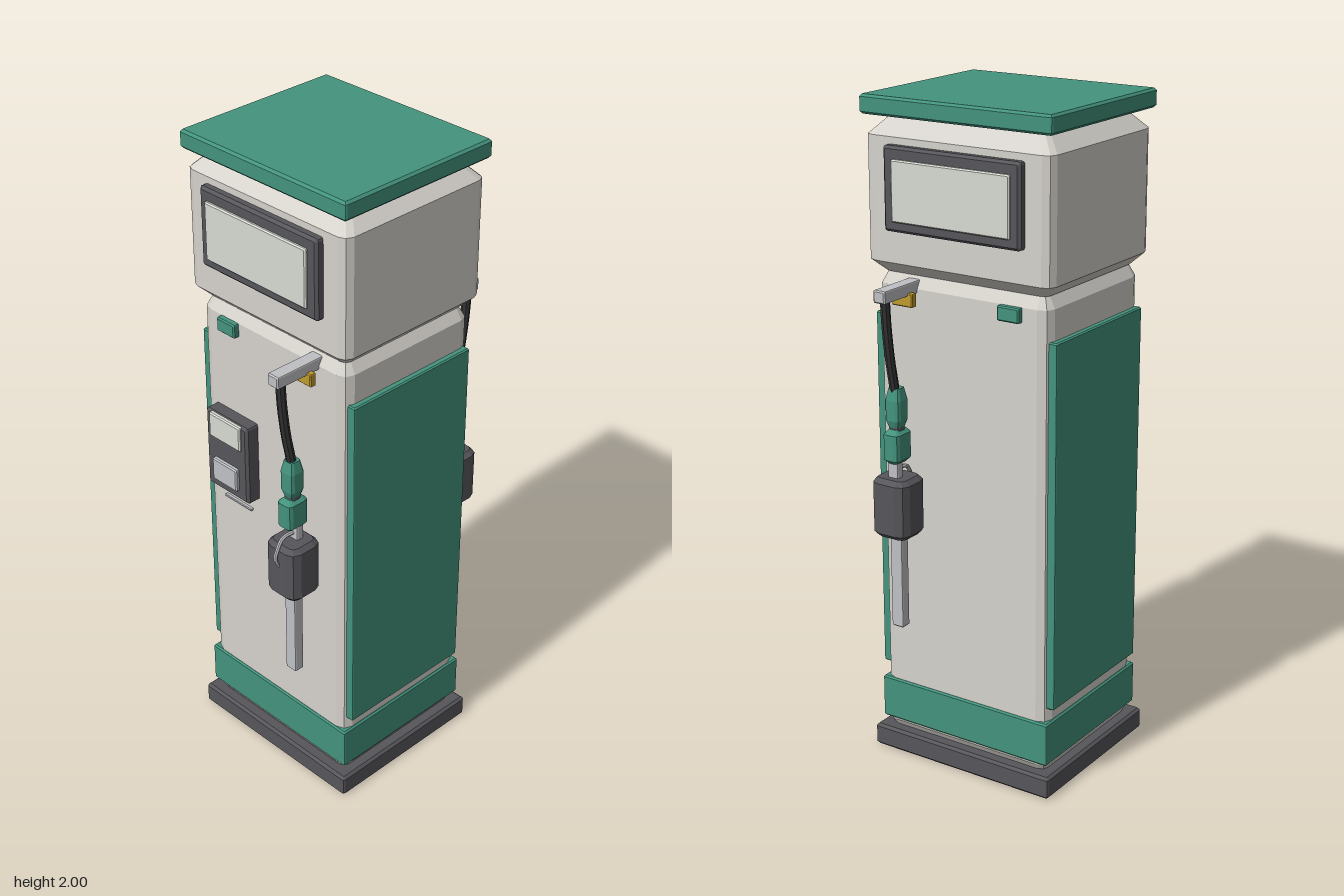
import * as THREE from 'three';

const mat = (color) => new THREE.MeshStandardMaterial({ color, flatShading: true });
const M = {
  shell: mat(0xd6d3cd), green: mat(0x43937d), dark: mat(0x57565b), glass: mat(0xd8dbd3),
  metal: mat(0xc0c1c5), gold: mat(0xc09a2e), hose: mat(0x333335),
};

// Rounded rectangle sections [y, halfX, halfZ, cornerRadius] stacked along y, with caps
function loft(sections) {
  const steps = 2, pos = [];
  const rings = sections.map(([y, hx, hz, r]) => {
    const ring = [];
    for (let q = 0; q < 4; q++) {
      const sx = q === 0 || q === 3 ? 1 : -1, sz = q < 2 ? 1 : -1;
      for (let k = 0; k <= steps; k++) {
        const a = (q + k / steps) * Math.PI / 2;
        ring.push([sx * (hx - r) + r * Math.cos(a), y, sz * (hz - r) + r * Math.sin(a)]);
      }
    }
    return ring;
  });
  const n = rings[0].length;
  const tri = (...p) => p.forEach((v) => pos.push(...v));
  for (let s = 0; s < rings.length - 1; s++) {
    for (let i = 0; i < n; i++) {
      const j = (i + 1) % n, lo = rings[s], hi = rings[s + 1];
      tri(lo[i], hi[i], hi[j]);
      tri(lo[i], hi[j], lo[j]);
    }
  }
  const first = rings[0], last = rings[rings.length - 1];
  for (let i = 1; i < n - 1; i++) {
    tri(first[0], first[i], first[i + 1]);
    tri(last[0], last[i + 1], last[i]);
  }
  const geo = new THREE.BufferGeometry();
  geo.setAttribute('position', new THREE.Float32BufferAttribute(pos, 3));
  geo.computeVertexNormals();
  return geo;
}

// Block with bevelled top and bottom rims; bevels are [inset, height]
function block(w, h, d, r, top = [r, r], bottom = top) {
  const hx = w / 2, hz = d / 2, y = h / 2;
  const rim = (inset) => Math.max(r - inset, r * 0.4);
  return loft([
    [-y, hx - bottom[0], hz - bottom[0], rim(bottom[0])],
    [-y + bottom[1], hx, hz, r],
    [y - top[1], hx, hz, r],
    [y, hx - top[0], hz - top[0], rim(top[0])],
  ]);
}

function add(parent, name, geo, material, x = 0, y = 0, z = 0) {
  const mesh = new THREE.Mesh(geo, material);
  mesh.name = name;
  mesh.position.set(x, y, z);
  parent.add(mesh);
  return mesh;
}

// Plate given by its x and y extents, reaching from z0 out to z1
function plate(parent, name, material, x0, x1, y0, y1, z0, z1, bevel = 0.006) {
  const geo = block(x1 - x0, Math.abs(z1 - z0), y1 - y0, bevel, [bevel, bevel], [0, 0.001]);
  geo.rotateX(z1 > z0 ? Math.PI / 2 : -Math.PI / 2);
  return add(parent, name, geo, material, (x0 + x1) / 2, (y0 + y1) / 2, (z0 + z1) / 2);
}

// Nozzle with grip, holster block, spout and trigger guard
function makeNozzle() {
  const g = new THREE.Group();
  g.name = 'nozzle';
  add(g, 'hoseGrip', loft([
    [1.08, 0.018, 0.02, 0.009], [1.10, 0.025, 0.026, 0.012],
    [1.16, 0.025, 0.026, 0.012], [1.195, 0.018, 0.018, 0.009],
  ]), M.green);
  add(g, 'swivel', block(0.036, 0.03, 0.036, 0.008), M.dark, 0, 1.075, 0);
  add(g, 'handle', block(0.054, 0.105, 0.074, 0.014), M.green, 0, 1.022, 0);
  add(g, 'neck', block(0.036, 0.06, 0.026, 0.005), M.metal, 0, 0.95, -0.012);
  add(g, 'holsterBlock', block(0.122, 0.18, 0.117, 0.032, [0.014, 0.014]), M.dark, 0, 0.84, 0);
  add(g, 'spout', block(0.04, 0.3, 0.033, 0.004), M.metal, 0, 0.61, 0);
  const guard = new THREE.CatmullRomCurve3([
    [0.95, -0.01], [0.948, 0.04], [0.925, 0.057], [0.89, 0.069], [0.86, 0.054],
  ].map(([y, z]) => new THREE.Vector3(0, y, z)));
  add(g, 'triggerGuard', new THREE.TubeGeometry(guard, 14, 0.006, 6), M.metal);
  return g;
}

export function createModel() {
  const model = new THREE.Group();
  model.name = 'fuelPump';
  const cz = -0.005; // centre of the cabinet in z

  // Cabinet
  add(model, 'base', block(0.626, 0.07, 0.542, 0.008), M.dark, 0, 0.035, cz);
  add(model, 'body', block(0.576, 1.45, 0.49, 0.035, [0.025, 0.045], [0.018, 0.03]), M.shell, 0, 0.785, cz);
  add(model, 'skirt', block(0.59, 0.135, 0.502, 0.005), M.green, 0, 0.163, cz);
  add(model, 'head', loft([
    [1.5, 0.273, 0.229, 0.02], [1.535, 0.308, 0.265, 0.03],
    [1.89, 0.308, 0.265, 0.03], [1.945, 0.255, 0.213, 0.02],
  ]), M.shell, 0, 0, cz);
  add(model, 'roof', block(0.63, 0.055, 0.55, 0.007), M.green, 0, 1.9725, cz);
  for (const s of [-1, 1]) {
    add(model, 'sidePanel', block(0.03, 1.105, 0.457, 0.004), M.green, s * 0.291, 0.8225, cz);
  }

  // Front and back fittings
  for (const s of [1, -1]) {
    const side = new THREE.Group();
    side.name = s > 0 ? 'frontFittings' : 'backFittings';
    model.add(side);
    const z = (d) => cz + s * d;
    plate(side, 'displayFrame', M.dark, -0.226, 0.226, 1.63, 1.87, z(0.25), z(0.29), 0.008);
    plate(side, 'displayGlass', M.glass, -0.197, 0.193, 1.66, 1.835, z(0.28), z(0.299), 0.004);
    plate(side, 'badge', M.green, -0.205, -0.133, 1.422, 1.465, z(0.23), z(0.264), 0.004);
    plate(side, 'hoseArm', M.metal, 0.147, 0.187, 1.453, 1.49, z(0.23), z(0.396), 0.004);
    plate(side, 'armBracket', M.gold, 0.132, 0.202, 1.422, 1.462, z(0.272), z(0.291), 0.003);

    const path = new THREE.CatmullRomCurve3([
      [1.46, 0.368], [1.38, 0.363], [1.28, 0.35], [1.22, 0.338], [1.18, 0.331],
    ].map(([y, d]) => new THREE.Vector3(0.167, y, z(d))));
    add(side, 'hose', new THREE.TubeGeometry(path, 16, 0.014, 8), M.hose);

    const nozzle = makeNozzle();
    nozzle.position.set(0.167, 0, s > 0 ? 0.325 : -0.33);
    side.add(nozzle);
  }

  // Payment terminal on the front only
  const terminal = new THREE.Group();
  terminal.name = 'paymentTerminal';
  model.add(terminal);
  plate(terminal, 'terminalCase', M.dark, -0.238, -0.064, 0.905, 1.165, 0.23, 0.285, 0.008);
  plate(terminal, 'terminalScreen', M.glass, -0.216, -0.086, 1.082, 1.162, 0.27, 0.293, 0.004);
  plate(terminal, 'keypad', M.metal, -0.202, -0.1, 0.94, 1.014, 0.27, 0.298, 0.004);
  plate(terminal, 'cardSlot', M.metal, -0.207, -0.093, 0.851, 0.859, 0.23, 0.25, 0.002);

  return model;
}
